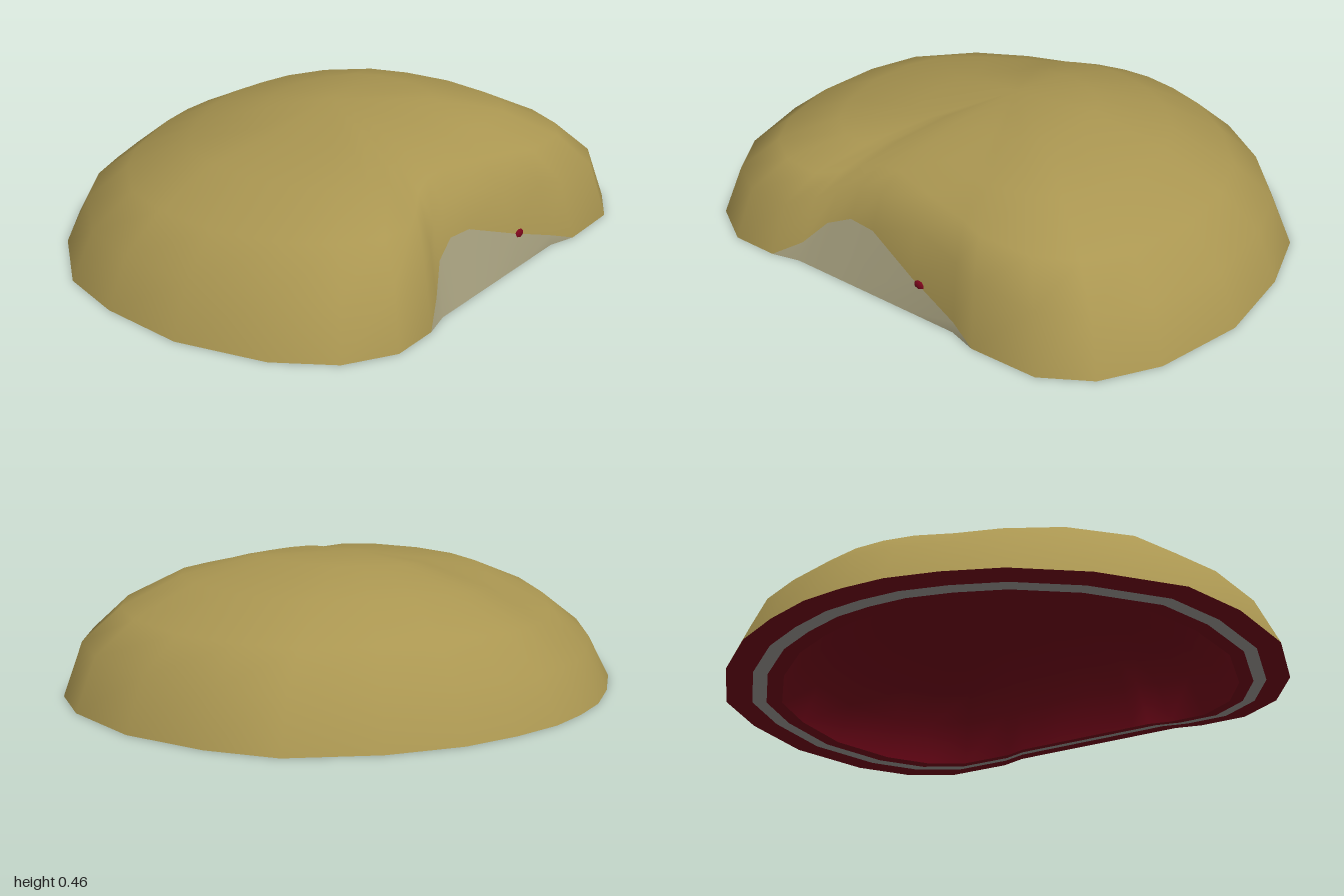
import * as THREE from 'three';
import { mergeVertices } from 'three/addons/utils/BufferGeometryUtils.js';

function material(name, color) {
  const m = new THREE.MeshStandardMaterial({ color });
  m.name = name;
  return m;
}
const skin = material('tan skin', 0xaa9651);
const bone = material('bone grey', 0xa09a7a);
const cutBone = material('cut bone grey', 0xaca6a2);
const flesh = material('dark red flesh', 0x7d071c);

// Lower edge of the skin [x, z, y]; y rises over the notch in the front
const back = [[0.15, -0.82], [0.32, -0.77], [0.5, -0.69], [0.71, -0.53], [0.91, -0.29],
  [0.98, -0.05], [1, 0.25], [0.92, 0.55], [0.8, 0.73], [0.64, 0.825]];
const notch = [[0.4, 0.83, 0], [0.3, 0.795, 0.035], [0.1, 0.76, 0.105], [-0.1, 0.715, 0.18],
  [-0.2, 0.71, 0.185], [-0.29, 0.73, 0.145], [-0.37, 0.775, 0.06], [-0.47, 0.825, 0]];
const mirrored = back.map(([x, z]) => [-x, z]).reverse();
const edge = [[0, -0.83], ...back, ...notch, ...mirrored]
  .map(([x, z, y = 0]) => new THREE.Vector3(x, y, z));

// The same outline continued down to the ground across the notch
const base = edge.map((p) => new THREE.Vector3(p.x, 0, p.y > 0 ? 0.8 : p.z));

// Outline shrunk towards a point slightly in front of the middle
const inset = (s) => base.map((p) => new THREE.Vector3(p.x * s, 0, p.z * s + (1 - s) * 0.3));

// Skin a list of loops with quads
function loft(loops, closed = true) {
  const n = loops[0].length;
  const positions = loops.flatMap((loop) => loop.flatMap((p) => [p.x, p.y, p.z]));
  const index = [];
  for (let k = 0; k < loops.length - 1; k++) {
    for (let i = 0; i < (closed ? n : n - 1); i++) {
      const j = (i + 1) % n;
      const a = k * n + i, b = a + n, c = k * n + j, d = c + n;
      index.push(a, b, c, c, b, d);
    }
  }
  let geometry = new THREE.BufferGeometry();
  geometry.setAttribute('position', new THREE.Float32BufferAttribute(positions, 3));
  geometry.setIndex(index);
  geometry = mergeVertices(geometry, 1e-5);
  geometry.computeVertexNormals();
  return geometry;
}

// Loops of a dome: fuller at the front, leaner at the back, with a groove beside the centre
function domeLoops(outline, height, groove) {
  const centreZ = 0.07;
  return [0, 22, 38, 55, 72, 90].map((degrees) => {
    const t = THREE.MathUtils.degToRad(degrees);
    return outline.map((p) => {
      const length = Math.hypot(p.x, p.z - centreZ);
      const front = (p.z - centreZ) / length;
      const fullness = (front > 0 ? 0.42 * front * front : 0.22 * front) + 0.06 * p.x / length;
      const power = 2 / (1.97 + fullness);
      const r = degrees === 90 ? 0 : Math.cos(t) ** power;
      const x = p.x * r;
      const lift = 1 - groove * Math.exp(-(((x + 0.27) / 0.19) ** 2))
        + groove * 0.6 * Math.exp(-(((x - 0.4) / 0.25) ** 2));
      const y = p.y + (height * lift - p.y) * Math.sin(t) ** power;
      return new THREE.Vector3(x, y, centreZ + (p.z - centreZ) * r);
    });
  });
}

export function createModel() {
  const group = new THREE.Group();
  const add = (name, geometry, colour) => {
    const mesh = new THREE.Mesh(geometry, colour);
    mesh.name = name;
    group.add(mesh);
    return mesh;
  };

  // Outer skin and hollow inside
  add('outerSkin', loft(domeLoops(edge, 0.46, 0.08)), skin);
  add('innerCavity', loft(domeLoops(inset(0.815), 0.36, 0.02).reverse()), flesh);

  // Bone showing through the notch
  const from = back.length + 1, to = from + notch.length;
  add('exposedBone', loft([base.slice(from, to), edge.slice(from, to)], false), bone);

  // Flat cut underneath: flesh, bone ring, flesh
  add('outerFleshRim', loft([inset(0.914), base]), flesh);
  add('boneRing', loft([inset(0.867), inset(0.914)]), cutBone);
  add('innerFleshRim', loft([inset(0.815), inset(0.867)]), flesh);

  // Small red spot at the edge of the notch
  const spot = add('fleshSpot', new THREE.SphereGeometry(0.026, 8, 6), flesh);
  spot.scale.set(1, 0.7, 0.4);
  spot.position.set(0.14, 0.09, 0.762);

  return group;
}
